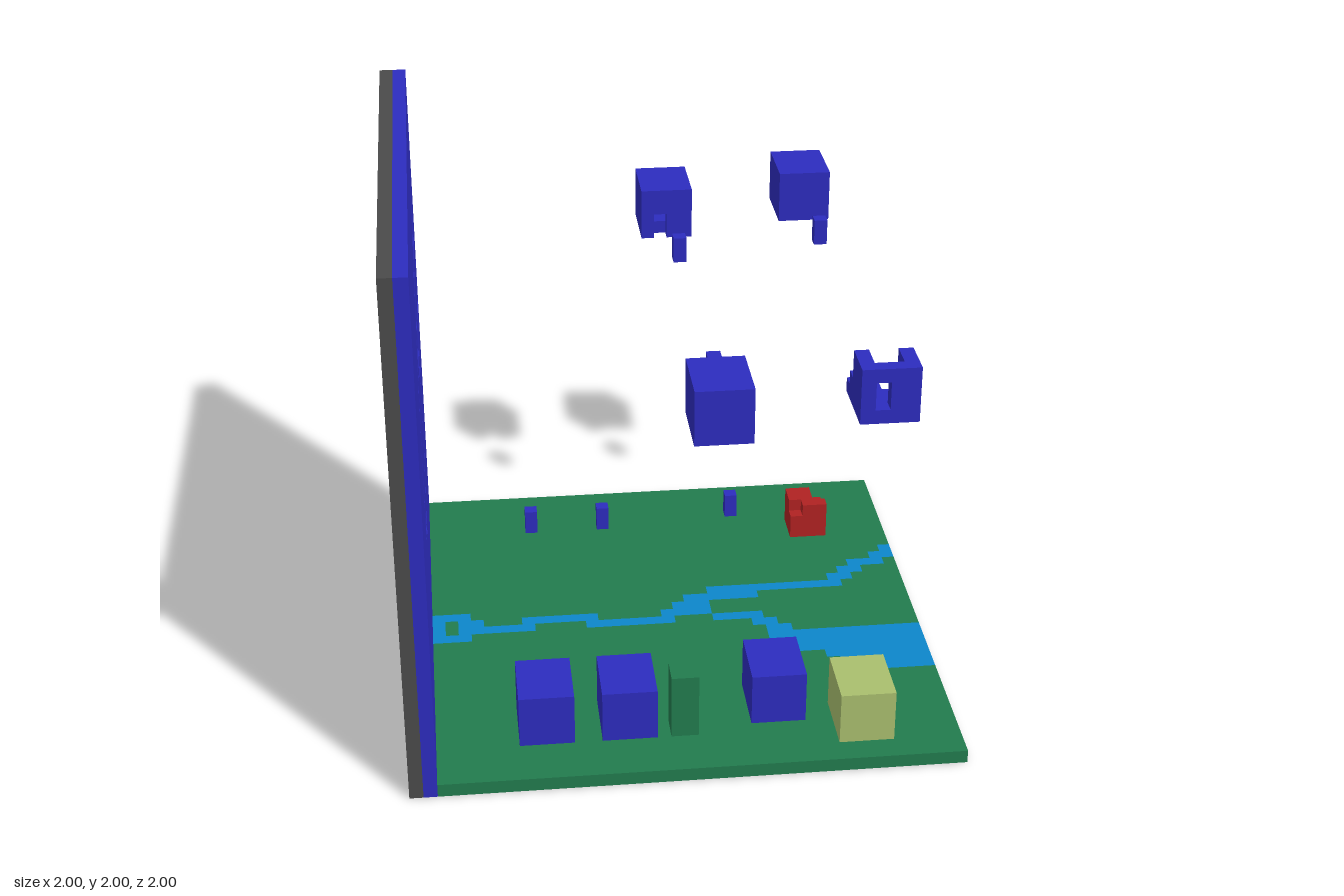
import * as THREE from 'three';
import { mergeGeometries } from 'three/addons/utils/BufferGeometryUtils.js';

const U = 0.05; // one block
const material = (name, color) => {
  const m = new THREE.MeshStandardMaterial({ color });
  m.name = name;
  return m;
};

// Box between two corners
function box(x0, x1, y0, y1, z0, z1) {
  const g = new THREE.BoxGeometry(x1 - x0, y1 - y0, z1 - z0);
  return g.translate((x0 + x1) / 2, (y0 + y1) / 2, (z0 + z1) / 2);
}

// Start/end pairs that fill the gaps between spans
function gaps(spans, from, to) {
  const edges = [from, ...spans, to], out = [];
  for (let i = 0; i < edges.length; i += 2) if (edges[i] < edges[i + 1]) out.push([edges[i], edges[i + 1]]);
  return out;
}

// Carved spans of the wall, by row from the top, in blocks from the front
const CARVING = {
  6: [30, 31], 7: [29, 32], 8: [29, 32], 9: [27, 34], 10: [23, 35],
  11: [23, 28, 33, 35], 12: [24, 27, 34, 35], 13: [21, 27, 34, 36],
  14: [18, 21, 24, 27, 34, 37], 15: [17, 19, 25, 27, 34, 36],
  16: [16, 18, 24, 28, 34, 37], 17: [16, 17, 23, 29, 32, 38],
  18: [15, 16, 23, 38], 19: [14, 15, 28, 33], 20: [13, 14, 28, 33],
  21: [13, 14, 28, 32], 22: [13, 14, 28, 29, 30, 31], 23: [13, 14, 28, 29],
  24: [14, 15, 28, 29], 25: [14, 15, 27, 28], 26: [14, 16, 25, 27],
  27: [15, 17, 24, 26], 28: [17, 19, 23, 25], 29: [19, 24],
};

// Water spans of the floor, by row from the back, in blocks from the left
const RIVER = {
  11: [39, 40], 12: [38, 40], 13: [36, 39], 14: [35, 37], 15: [34, 36],
  16: [24, 35], 17: [22, 28], 18: [2, 5, 21, 24], 19: [2, 3, 4, 6, 9, 15, 20, 24],
  20: [2, 3, 4, 10, 14, 21, 24, 28], 21: [2, 5, 27, 29], 22: [28, 30],
  23: [28, 40], 24: [29, 40], 25: [30, 40], 26: [32, 40], 27: [33, 40], 28: [35, 40],
};

export function createModel() {
  const model = new THREE.Group();
  const blue = material('deepBlue', 0x2d2cbe);
  const grey = material('darkGrey', 0x4a4a4a);
  const green = material('grassGreen', 0x227b4e);
  const water = material('waterBlue', 0x0d86ca);
  const red = material('red', 0xb02222);
  const pale = material('paleGreen', 0xa9be6e);

  function add(name, mat, boxes) {
    const mesh = new THREE.Mesh(mergeGeometries(boxes), mat);
    mesh.name = name;
    model.add(mesh);
  }

  // Wall: plain backing and a carved facing
  add('wallBacking', grey, [box(-1, -0.95, 0, 2, -1, 1)]);
  const facing = [box(-0.95, -0.9, 1.7, 2, -1, 1), box(-0.95, -0.9, 0, 0.5, -1, 1)];
  for (const [r, spans] of Object.entries(CARVING)) {
    for (const [a, b] of gaps(spans, 0, 40)) {
      facing.push(box(-0.95, -0.9, 2 - U * r - U, 2 - U * r, 1 - U * b, 1 - U * a));
    }
  }
  add('wallFacing', blue, facing);

  // Floor with the river running through it
  const grass = [box(-0.9, 1, 0, U, -1, -0.45), box(-0.9, 1, 0, U, 0.45, 1)], stream = [];
  for (const [r, spans] of Object.entries(RIVER)) {
    const z = -1 + U * r;
    const strip = (a, b) => box(-1 + U * a, -1 + U * b, 0, U, z, z + U);
    for (const [a, b] of gaps(spans, 2, 40)) grass.push(strip(a, b));
    for (let i = 0; i < spans.length; i += 2) stream.push(strip(spans[i], spans[i + 1]));
  }
  add('grassFloor', green, grass);
  add('river', water, stream);

  // Houses and pillar standing on the floor
  for (const [x, z] of [[-0.6, 0.55], [-0.3, 0.55], [0.25, 0.5]]) {
    add('groundHouse', blue, [box(x, x + 0.2, U, 0.25, z, z + 0.25)]);
  }
  add('paleHouse', pale, [box(0.55, 0.75, U, 0.25, 0.65, 0.9)]);
  add('pillar', green, [box(-0.05, 0.05, U, 0.3, 0.7, 0.8)]);

  // Red stepped heap
  add('redHeap', red, [
    box(0.6, 0.75, U, 0.15, -0.7, -0.55),
    box(0.6, 0.7, 0.15, 0.2, -0.7, -0.6),
    box(0.65, 0.75, 0.15, 0.2, -0.6, -0.55),
  ]);

  // Small posts, on the floor and floating
  for (const [x, y, z] of [[-0.5, U, -0.75], [-0.2, U, -0.75], [0.35, U, -0.8],
    [0.1, 1.35, 0.5], [0.1, 1.35, -0.55], [0.65, 1.4, -0.55]]) {
    add('post', blue, [box(x, x + U, y, y + 0.1, z, z + U)]);
  }

  // Wall across a house, two blocks high opening one block from its left
  const openWall = (x, y, z, sill) => [
    box(x, x + U, y, y + 0.2, z, z + U),
    box(x + 0.1, x + 0.2, y, y + 0.2, z, z + U),
    box(x + U, x + 0.1, y + sill + 0.1, y + 0.2, z, z + U),
    ...(sill ? [box(x + U, x + 0.1, y, y + sill, z, z + U)] : []),
  ];

  // Floating hollow houses: side = which z end holds the opening
  for (const [x, y, z, side, sill] of [[0, 1.35, 0.75, 0, 0], [0, 1.35, -1, 1, 0], [0.55, 1.4, -1, 0, U]]) {
    const open = z + side * 0.2, shut = z + (1 - side) * 0.2;
    add('floatingHouse', blue, [
      ...openWall(x, y, open, sill),
      box(x, x + 0.2, y, y + 0.2, shut, shut + U),
      box(x, x + U, y, y + 0.2, z + U, z + 0.2),
      box(x + 0.15, x + 0.2, y, y + 0.2, z + U, z + 0.2),
      box(x + U, x + 0.15, y, y + U, z + U, z + 0.2),
      box(x + U, x + 0.15, y + 0.15, y + 0.2, z + U, z + 0.2),
    ]);
  }

  // Ruined floating house, broken away in steps towards the back
  add('ruinedHouse', blue, [
    ...openWall(0.55, 1.4, 0.95, U),
    box(0.55, 0.6, 1.4, 1.6, 0.85, 0.95),
    box(0.7, 0.75, 1.4, 1.6, 0.85, 0.95),
    box(0.6, 0.7, 1.4, 1.45, 0.85, 0.95),
    box(0.55, 0.6, 1.4, 1.5, 0.8, 0.85),
    box(0.6, 0.65, 1.4, 1.45, 0.8, 0.85),
    box(0.55, 0.6, 1.4, 1.45, 0.75, 0.8),
  ]);

  return model;
}
